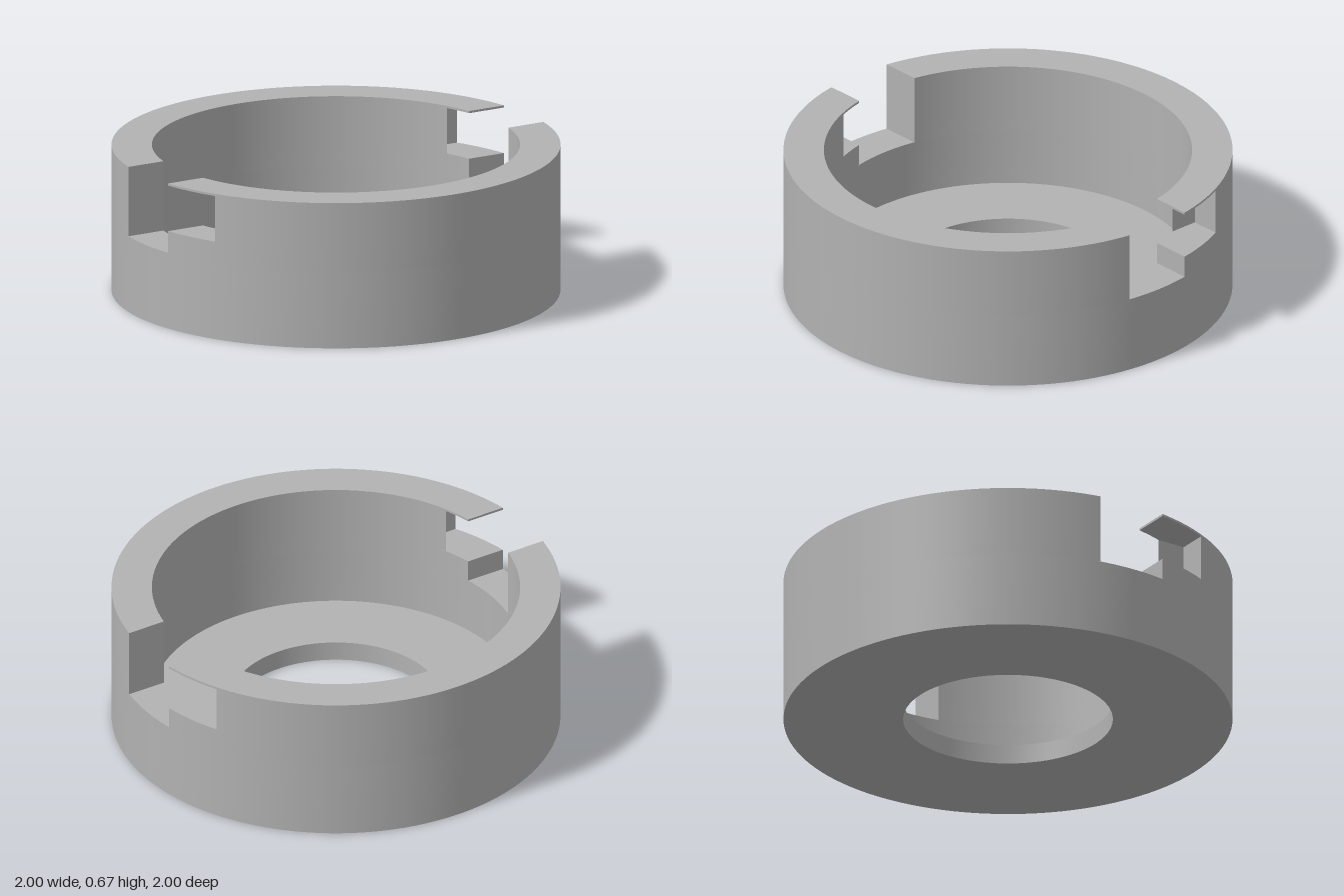
import * as THREE from 'three';
import { mergeGeometries, toCreasedNormals } from 'three/addons/utils/BufferGeometryUtils.js';

// Radii, heights and bayonet slot sizes
const R = 1, RI = 0.82, RH = 0.467;
const H = 0.67, FLOOR = 0.09, SLOT_Y = 0.35, HOOK_Y = 0.45, ROOF_Y = 0.66;
const SLOT = 0.166, HOOK_END = 0.428, HOOK_IN = 0.766;
const STEP = Math.PI / 64;

// Arc points on a fixed angular grid, plus the exact ends
function arc(r, from, to) {
  const angles = [from];
  const lo = Math.min(from, to), hi = Math.max(from, to);
  const mid = [];
  for (let k = Math.ceil(lo / STEP - 1e-6); k * STEP < hi - 1e-6; k++) {
    if (k * STEP > lo + 1e-6) mid.push(k * STEP);
  }
  if (to < from) mid.reverse();
  angles.push(...mid, to);
  return angles.map((a) => new THREE.Vector2(r * Math.cos(a), r * Math.sin(a)));
}

const circle = (r) => arc(r, 0, Math.PI * 2).slice(0, -1);
const turned = (pts) => pts.map((p) => new THREE.Vector2(-p.x, -p.y));

// Upright faces around a closed outline (counter-clockwise faces outward)
function walls(pts, y0, y1) {
  const pos = [];
  pts.forEach((p, i) => {
    const q = pts[(i + 1) % pts.length];
    pos.push(p.x, y0, -p.y, q.x, y0, -q.y, q.x, y1, -q.y);
    pos.push(p.x, y0, -p.y, q.x, y1, -q.y, p.x, y1, -p.y);
  });
  const g = new THREE.BufferGeometry();
  g.setAttribute('position', new THREE.Float32BufferAttribute(pos, 3));
  return g;
}

// Flat face at height y, with an optional hole
function cap(pts, y, hole = null, down = false) {
  const shape = new THREE.Shape(pts);
  if (hole) shape.holes.push(new THREE.Path(hole));
  const g = new THREE.ShapeGeometry(shape);
  if (down) g.setIndex(Array.from(g.index.array).reverse());
  g.rotateX(-Math.PI / 2).translate(0, y, 0);
  g.deleteAttribute('uv');
  g.deleteAttribute('normal');
  return g.toNonIndexed();
}

export function createModel() {
  const grey = new THREE.MeshStandardMaterial({ color: 0xb2b2b2 });
  grey.name = 'grey';

  const model = new THREE.Group();
  model.name = 'lockingCollar';
  const add = (name, parts) => {
    const mesh = new THREE.Mesh(toCreasedNormals(mergeGeometries(parts), 0.5), grey);
    mesh.name = name;
    model.add(mesh);
  };

  // Base plate with its central hole
  add('base', [
    cap(circle(R), 0, circle(RH), true),
    cap(circle(RI), FLOOR, circle(RH)),
    walls(circle(RH).reverse(), 0, FLOOR),
  ]);

  // Plain lower wall
  add('lowerWall', [
    walls(circle(R), 0, SLOT_Y),
    walls(circle(RI).reverse(), FLOOR, SLOT_Y),
  ]);

  // Plan outlines of the slotted rim, for one half
  const a0 = Math.asin(SLOT / R), b0 = Math.asin(SLOT / RI);
  const a1 = Math.asin(HOOK_END / R), b1 = Math.acos(HOOK_IN / RI);
  const corner = new THREE.Vector2(HOOK_IN, HOOK_END);
  const slotted = [...arc(R, a0, Math.PI - a0), ...arc(RI, Math.PI - b0, b0)];
  const hooked = [...arc(R, a1, Math.PI - a0), ...arc(RI, Math.PI - b0, b1), corner];
  const slotFloor = [...arc(R, -a0, a0), ...arc(RI, b0, -b0)];
  const hookFloor = [...arc(R, a0, a1), corner, ...arc(RI, b1, b0)];

  // Two rim halves, each with an entry slot and an undercut side pocket
  [['rimBack', (p) => p], ['rimFront', turned]].forEach(([name, place]) => {
    add(name, [
      walls(place(slotted), SLOT_Y, HOOK_Y),
      walls(place(hooked), HOOK_Y, ROOF_Y),
      walls(place(slotted), ROOF_Y, H),
      cap(place(slotFloor), SLOT_Y),
      cap(place(hookFloor), HOOK_Y),
      cap(place(hookFloor), ROOF_Y, null, true),
      cap(place(slotted), H),
    ]);
  });

  // Slots lie on the diagonal
  model.rotation.y = Math.PI / 4;
  const root = new THREE.Group();
  root.name = 'model';
  root.add(model);
  return root;
}
